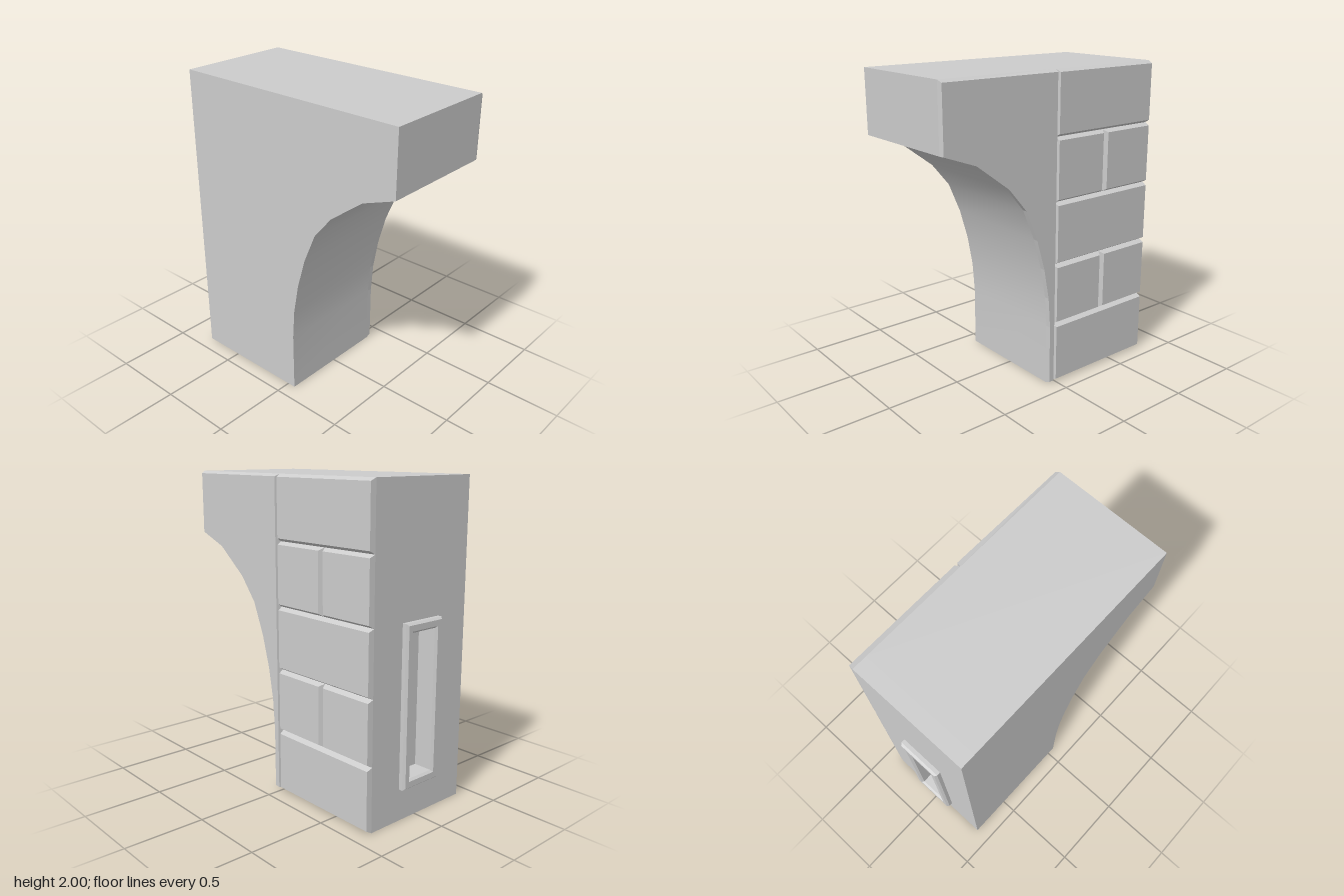
import * as THREE from 'three';
import { toCreasedNormals } from 'three/addons/utils/BufferGeometryUtils.js';

const BACK = -0.785, RECESS = -0.69, SEAM = 0.01;
const CORE_X = 0.365, FACE_X = 0.4;
const grey = new THREE.MeshStandardMaterial({ color: 0xcccccc });

// Underside of the overhang, as [z, y] from the tip down to the ground
const ARCH = [[0.82, 1.6], [0.6, 1.52], [0.375, 1.35], [0.25, 1.2], [0.165, 1],
  [0.107, 0.8], [0.07, 0.6], [0.055, 0.4], [0.055, 0]];

function addMesh(group, name, geometry) {
  const mesh = new THREE.Mesh(geometry, grey);
  mesh.name = name;
  group.add(mesh);
  return mesh;
}

function rect(Type, x0, x1, y0, y1) {
  return new Type([[x0, y0], [x1, y0], [x1, y1], [x0, y1]].map(p => new THREE.Vector2(...p)));
}

// Raised facing on the +x side: base outline on the core, smaller outline on top.
// Outlines are [z, y] loops, counter-clockwise as seen from +x.
function facing(base, top, topX = () => FACE_X) {
  const b = base.map(([z, y]) => [CORE_X, y, z]);
  const t = top.map(([z, y]) => [topX(z), y, z]);
  const pos = [];
  b.forEach((p, i) => {
    const j = (i + 1) % b.length;
    pos.push(...p, ...b[j], ...t[j], ...p, ...t[j], ...t[i]);
  });
  const flat = top.map(([z, y]) => new THREE.Vector2(-z, y));
  for (const tri of THREE.ShapeUtils.triangulateShape(flat, [])) {
    tri.forEach(i => pos.push(...t[i]));
  }
  const geo = new THREE.BufferGeometry();
  geo.setAttribute('position', new THREE.Float32BufferAttribute(pos, 3));
  geo.computeVertexNormals();
  return geo;
}

// Loop of a block, zf = front edge, zb = back edge
const loop = (zf, zb, y0, y1) => [[zf, y0], [zb, y0], [zb, y1], [zf, y1]];

export function createModel() {
  const model = new THREE.Group();
  model.name = 'wallBracket';

  // Core: side profile drawn across the width
  const outline = [[RECESS, 2], ...[[0.82, 2], ...ARCH], [RECESS, 0]];
  const profile = new THREE.Shape(outline.map(([z, y]) => new THREE.Vector2(-z, y)));
  const core = new THREE.ExtrudeGeometry(profile, { depth: CORE_X + 0.4, bevelEnabled: false });
  core.rotateY(Math.PI / 2).translate(-0.4, 0, 0);
  addMesh(model, 'core', toCreasedNormals(core, 0.5));

  // Back wall, pierced by the slot
  const wall = rect(THREE.Shape, -0.4, CORE_X, 0, 2);
  wall.holes.push(rect(THREE.Path, -0.105, 0.085, 0.26, 1.14));
  const wallGeo = new THREE.ExtrudeGeometry(wall, { depth: RECESS - BACK, bevelEnabled: false });
  addMesh(model, 'backWall', wallGeo).position.z = BACK;

  // Bevelled frame around the slot
  const frame = rect(THREE.Shape, -0.16, 0.14, 0.2, 1.2);
  frame.holes.push(rect(THREE.Path, -0.105, 0.085, 0.26, 1.14));
  const frameGeo = new THREE.ExtrudeGeometry(frame, {
    depth: 0.03, bevelThickness: 0.015, bevelSize: 0.012, bevelOffset: -0.012, bevelSegments: 1,
  });
  addMesh(model, 'slotFrame', frameGeo).position.z = -0.81;

  // Stone courses: whole blocks alternate with pairs of half blocks
  const stones = new THREE.Group();
  stones.name = 'stoneBlocks';
  model.add(stones);
  for (let row = 0; row < 5; row++) {
    const y0 = row === 0 ? 0 : row * 0.4 + 0.003;
    const y1 = row === 4 ? 2 : (row + 1) * 0.4 + 0.003;
    const joints = row % 2 ? [SEAM, -0.388, BACK] : [SEAM, BACK];
    for (let i = 0; i < joints.length - 1; i++) {
      const zf = joints[i], zb = joints[i + 1];
      const insetF = zf === SEAM ? 0.01 : 0.02;
      const insetB = zb === BACK ? 0.005 : 0.02;
      addMesh(stones, 'stoneBlock', facing(
        loop(zf, zb, y0, y1),
        loop(zf - insetF, zb + insetB, y0 + 0.02, y1 - 0.017)));
    }
  }

  // Smooth cheek on the side of the arched overhang, leaning in slightly towards the tip
  const arch = [...ARCH].reverse();
  const base = [[SEAM, 2], [0.82, 2], ...ARCH, [SEAM, 0]].reverse();
  const top = [[SEAM, 0.015], [0.055, 0.015], ...arch.slice(1, -1), [0.81, 1.598],
    [0.81, 1.985], [SEAM, 1.985]].map(([z, y]) => [z === SEAM ? SEAM + 0.01 : z, y]);
  // Both loops run from the seam's foot, so turn them to counter-clockwise order
  addMesh(model, 'archCheek', facing(base.reverse(), top.reverse(), z => FACE_X - 0.012 * z));

  return model;
}
